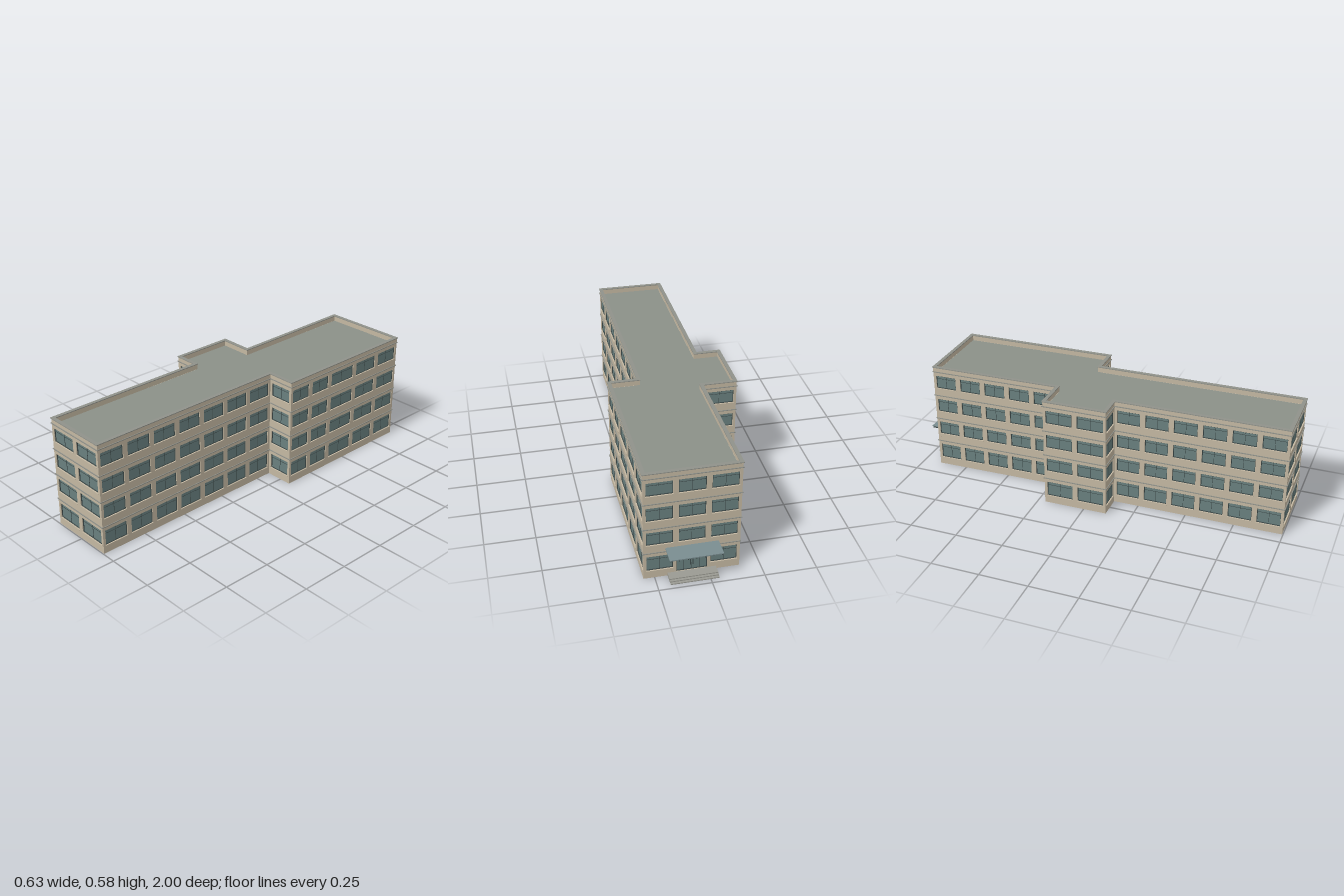
import * as THREE from 'three';
import { mergeGeometries } from 'three/addons/utils/BufferGeometryUtils.js';

const mat = (color) => new THREE.MeshStandardMaterial({ color });
const WALL = mat(0xc4b8a2), GLASS = mat(0x69807f), FRAME = mat(0x3d4a4a);
const TRIM = mat(0x8f918a), ROOF = mat(0x8b9088), STONE = mat(0x9a9a92), CANOPY = mat(0x7a8d90);

// Footprint corners: x, z, and the window bays (relative widths) of the wall that starts there
const even = (n) => Array(n).fill(1);
const PLAN = [
  [-0.181, 0.996, even(2)],
  [0.174, 0.996, even(7)],
  [0.164, -0.085, even(1)],
  [0.312, -0.085, [27, 27, 36, 33, 31]],
  [0.302, -0.907, even(3)],
  [-0.153, -0.903, even(5)],
  [-0.141, -0.211, even(1)],
  [-0.314, -0.211, even(2)],
  [-0.311, 0.12, even(1)],
  [-0.187, 0.12, even(6)],
];
const ENTRANCE_WALL = 4;
const FLOORS = [[0.042, 0.122], [0.187, 0.259], [0.322, 0.394], [0.459, 0.53]];
const GAP = 0.026, THICK = 0.014, ROOF_Y = 0.55, TOP = 0.58;

// Footprint pushed outwards by d, as points of a flat shape (x, -z)
function outline(d) {
  const p = PLAN.map(([x, z]) => new THREE.Vector2(x, -z));
  const normal = (a, b) => new THREE.Vector2(b.y - a.y, a.x - b.x).normalize();
  return p.map((v, i) => {
    const n1 = normal(p[(i + p.length - 1) % p.length], v);
    const n2 = normal(v, p[(i + 1) % p.length]);
    return v.clone().addScaledVector(n1.clone().add(n2), d / (1 + n1.dot(n2)));
  });
}

// Horizontal slab or ring following the footprint
function slab(name, material, y0, y1, out, inner) {
  const shape = new THREE.Shape(outline(out));
  if (inner !== undefined) shape.holes.push(new THREE.Path(outline(inner)));
  const g = new THREE.ExtrudeGeometry(shape, { depth: y1 - y0, bevelEnabled: false });
  g.rotateX(-Math.PI / 2).translate(0, y0, 0);
  const mesh = new THREE.Mesh(g, material);
  mesh.name = name;
  return mesh;
}

// Box given by its limits
const box = (x0, x1, y0, y1, z0, z1) =>
  new THREE.BoxGeometry(x1 - x0, y1 - y0, z1 - z0)
    .translate((x0 + x1) / 2, (y0 + y1) / 2, (z0 + z1) / 2);

const rect = (C, x0, x1, y0, y1) => new C([
  new THREE.Vector2(x0, y0), new THREE.Vector2(x1, y0),
  new THREE.Vector2(x1, y1), new THREE.Vector2(x0, y1)]);

function addMerged(group, name, geometries, material) {
  const mesh = new THREE.Mesh(mergeGeometries(geometries), material);
  mesh.name = name;
  group.add(mesh);
}

// Frame bars around an opening, plus upright bars at the given x positions and a transom
function frameBars(x0, x1, y0, y1, uprights, transom) {
  const f = 0.003, z0 = -0.009, z1 = -0.004;
  return [
    box(x0, x1, y0, y0 + f, z0, z1), box(x0, x1, y1 - f, y1, z0, z1),
    box(x0, x0 + f, y0, y1, z0, z1), box(x1 - f, x1, y0, y1, z0, z1),
    box(x0, x1, transom - 0.0008, transom + 0.0008, z0, z1 - 0.002),
    ...uprights.map((u) => box(u - 0.0008, u + 0.0008, y0, y1, z0, z1 - 0.002)),
  ];
}

// One straight wall: local x along the wall, local z outwards
function buildWall(i) {
  const [ax, az, bays] = PLAN[i];
  const [bx, bz] = PLAN[(i + 1) % PLAN.length];
  const L = Math.hypot(bx - ax, bz - az);
  const total = bays.reduce((s, b) => s + b, 0);
  const group = new THREE.Group();
  group.name = 'facade' + (i + 1);
  group.position.set(ax, 0, az);
  group.rotation.y = Math.atan2(az - bz, bx - ax);

  const shape = rect(THREE.Shape, 0, L, 0, ROOF_Y);
  const glass = [], frames = [], sills = [];
  FLOORS.forEach(([y0, y1], floor) => {
    let start = 0;
    bays.forEach((b, k) => {
      const w = (b / total) * L;
      const x0 = start + GAP / 2, x1 = start + w - GAP / 2, mid = start + w / 2;
      start += w;
      if (i === ENTRANCE_WALL && floor === 0 && k === 1) {
        // glazed entrance doors
        const e0 = mid - 0.073, e1 = mid + 0.073, d0 = 0.015, d1 = 0.138;
        shape.holes.push(rect(THREE.Path, e0, e1, d0, d1));
        glass.push(box(e0, e1, d0, d1, -0.012, -0.008));
        frames.push(...frameBars(e0, e1, d0, d1, [mid - 0.037, mid, mid + 0.037], 0.11));
        for (const s of [-1, 1]) {
          const h = mid + s * 0.006;
          frames.push(box(h - 0.0015, h + 0.0015, 0.045, 0.085, -0.008, 0));
        }
        return;
      }
      shape.holes.push(rect(THREE.Path, x0, x1, y0, y1));
      glass.push(box(x0, x1, y0, y1, -0.012, -0.008));
      frames.push(...frameBars(x0, x1, y0, y1, [mid], y0 + (y1 - y0) * 0.75));
      sills.push(box(x0 - 0.002, x1 + 0.002, y0 - 0.003, y0, -0.006, 0.003));
    });
  });
  const wall = new THREE.ExtrudeGeometry(shape, { depth: THICK, bevelEnabled: false });
  addMerged(group, 'wall', [wall.translate(0, 0, -THICK)], WALL);
  addMerged(group, 'windowGlass', glass, GLASS);
  addMerged(group, 'windowFrames', frames, FRAME);
  addMerged(group, 'windowSills', sills, WALL);
  if (i === ENTRANCE_WALL) group.add(buildEntrance(L / 2));
  return group;
}

// Steps and canopy in front of the doors
function buildEntrance(cx) {
  const g = new THREE.Group();
  g.name = 'entrance';
  g.position.x = cx;
  const steps = [0, 1, 2].map((k) =>
    box(-0.115, 0.115, k * 0.005, (k + 1) * 0.005, 0, 0.07 - k * 0.012));
  addMerged(g, 'steps', steps, STONE);
  addMerged(g, 'canopy', [box(-0.125, 0.125, 0.157, 0.162, 0, 0.094)], CANOPY);
  const beams = [];
  for (let k = 0; k <= 6; k++) {
    const x = -0.12 + k * 0.04;
    beams.push(box(x - 0.002, x + 0.002, 0.149, 0.157, 0, 0.09));
  }
  addMerged(g, 'canopyBeams', beams, FRAME);
  return g;
}

export function createModel() {
  const model = new THREE.Group();
  model.name = 'officeBuilding';
  PLAN.forEach((_, i) => model.add(buildWall(i)));

  // ground slab, roof and parapet
  model.add(slab('baseSlab', STONE, 0, 0.01, -0.002));
  model.add(slab('roof', ROOF, 0.535, ROOF_Y, -0.004));
  model.add(slab('parapet', WALL, ROOF_Y, TOP - 0.004, 0, -0.013));
  model.add(slab('coping', TRIM, TOP - 0.004, TOP, 0.004, -0.015));

  // string courses between the floors and below the parapet
  [0.143, 0.279, 0.416, 0.552].forEach((y, k) =>
    model.add(slab('stringCourse' + (k + 1), TRIM, y - 0.002, y + 0.002, 0.004, -0.002)));
  return model;
}
